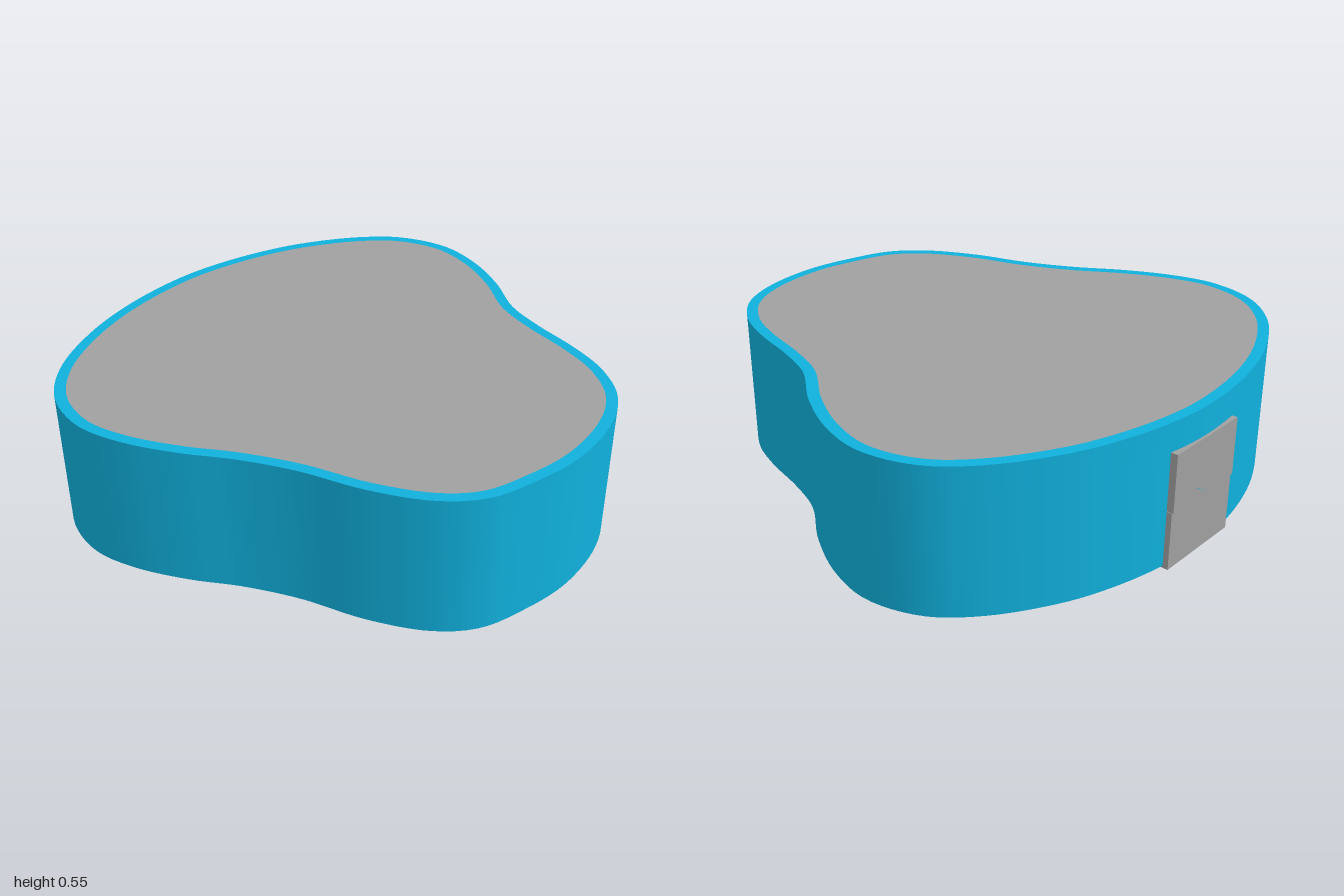
import * as THREE from 'three';
import { toCreasedNormals } from 'three/addons/utils/BufferGeometryUtils.js';

// Rounded, pear-like outline as (x, z), running round from the back
const OUTLINE = [
  [0, -0.99], [0.2, -0.972], [0.4, -0.925], [0.58, -0.855], [0.8, -0.715], [0.93, -0.57],
  [0.987, -0.37], [0.95, -0.18], [0.85, 0.02], [0.72, 0.2], [0.66, 0.36], [0.605, 0.57],
  [0.54, 0.73], [0.42, 0.875], [0.25, 0.96], [0, 0.995], [-0.21, 0.965], [-0.38, 0.91],
  [-0.5, 0.8], [-0.605, 0.6], [-0.68, 0.36], [-0.77, 0.165], [-0.87, 0], [-0.96, -0.2],
  [-0.993, -0.38], [-0.94, -0.58], [-0.795, -0.745], [-0.555, -0.88], [-0.29, -0.96],
];
const BASE = 0.008, TOP = 0.55;

export function createModel() {
  const group = new THREE.Group();
  group.name = 'curvedTub';
  const blue = new THREE.MeshStandardMaterial({ name: 'blue', color: 0x10b0dc });
  const grey = new THREE.MeshStandardMaterial({ name: 'grey', color: 0xa0a0a0 });

  const add = (name, geometry, material) => {
    const mesh = new THREE.Mesh(geometry, material);
    mesh.name = name;
    group.add(mesh);
  };

  // Smooth closed outline in shape space, where shape y is -z
  const curve = new THREE.CatmullRomCurve3(
    OUTLINE.map(([x, z]) => new THREE.Vector3(x, -z, 0)), true, 'centripetal');
  const ring = curve.getSpacedPoints(160).slice(0, -1).map((p) => new THREE.Vector2(p.x, p.y));

  // Outline moved inward along its normals
  const inset = (d) => ring.map((p, i) => {
    const a = ring[(i + ring.length - 1) % ring.length];
    const b = ring[(i + 1) % ring.length];
    const t = b.clone().sub(a).normalize();
    return new THREE.Vector2(p.x + t.y * d, p.y - t.x * d);
  });

  // Upright slab between two heights, with smooth sides
  const slab = (shape, y0, y1) => {
    const g = new THREE.ExtrudeGeometry(shape, { depth: y1 - y0, bevelEnabled: false });
    g.rotateX(-Math.PI / 2).translate(0, y0, 0);
    return toCreasedNormals(g, 0.6);
  };

  // Outer wall with its rim
  const wallShape = new THREE.Shape(ring);
  wallShape.holes.push(new THREE.Path(inset(0.042)));
  add('wall', slab(wallShape, BASE, TOP), blue);

  // Filling, level with the rim, and the underside plate
  add('filling', slab(new THREE.Shape(inset(0.042)), BASE + 0.01, TOP), grey);
  add('underside', slab(new THREE.Shape(inset(0.012)), BASE - 0.004, BASE + 0.002), grey);

  // Back panel, split in two by a wavy seam (x, y)
  const seam = [[0.19, 0.22], [0.145, 0.217], [0.1, 0.268], [0.05, 0.258],
    [-0.02, 0.215], [-0.1, 0.205], [-0.175, 0.222]];
  const panel = (edgeY, gap, zBack) => {
    const shape = new THREE.Shape([
      ...seam.map(([x, y]) => new THREE.Vector2(x, y + gap)),
      new THREE.Vector2(-0.175, edgeY), new THREE.Vector2(0.19, edgeY),
    ]);
    const g = new THREE.ExtrudeGeometry(shape, { depth: -0.965 - zBack, bevelEnabled: false });
    return g.translate(0, 0, zBack);
  };
  add('backPanelUpper', panel(0.44, 0.001, -1), grey);
  add('backPanelLower', panel(0, -0.001, -0.994), grey);

  return group;
}
